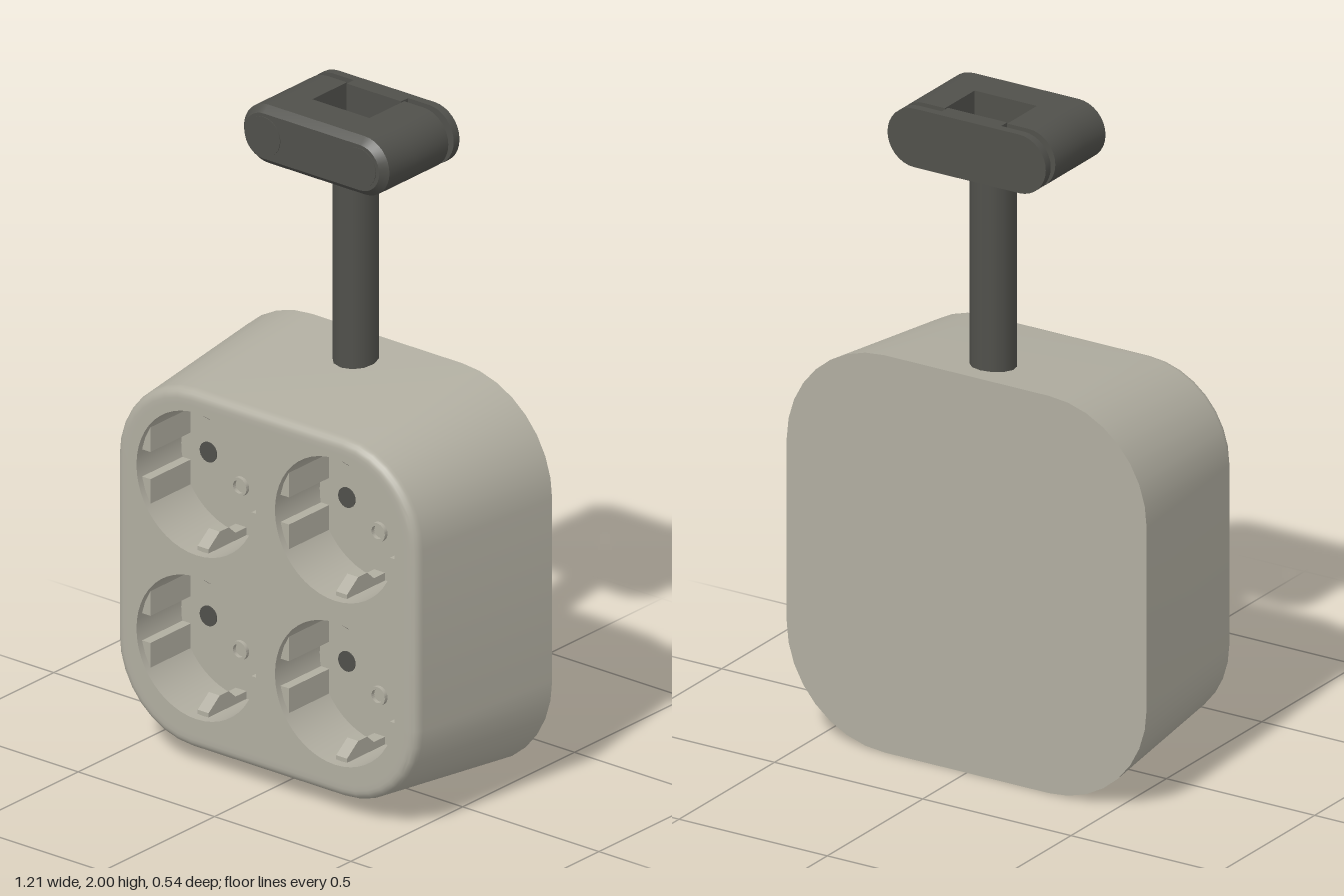
import * as THREE from 'three';
import { toCreasedNormals } from 'three/addons/utils/BufferGeometryUtils.js';

const shellMat = new THREE.MeshStandardMaterial({ color: 0xb0ada0 });
shellMat.name = 'warm grey shell';
const darkMat = new THREE.MeshStandardMaterial({ color: 0x50504b });
darkMat.name = 'dark grey plastic';

function add(parent, name, geometry, material, x = 0, y = 0, z = 0) {
  const mesh = new THREE.Mesh(geometry, material);
  mesh.name = name;
  mesh.position.set(x, y, z);
  parent.add(mesh);
  return mesh;
}

// Rounded rectangle outline, counter-clockwise seen from the front
function outline(hw, hh, r, steps = 8) {
  const points = [];
  for (let c = 0; c < 4; c++) {
    const sx = c === 0 || c === 3 ? 1 : -1;
    const sy = c < 2 ? 1 : -1;
    for (let i = 0; i <= steps; i++) {
      const a = (c + i / steps) * Math.PI / 2;
      points.push(new THREE.Vector2(sx * (hw - r) + r * Math.cos(a), sy * (hh - r) + r * Math.sin(a)));
    }
  }
  return points;
}

// Skin between outlines; each section is [halfWidth, halfHeight, radius, z]
function loft(sections) {
  const positions = [], index = [];
  let n = 0;
  for (const [hw, hh, r, z] of sections) {
    const ring = outline(hw, hh, r);
    n = ring.length;
    ring.forEach(p => positions.push(p.x, p.y, z));
  }
  for (let i = 0; i < sections.length - 1; i++) {
    for (let j = 0; j < n; j++) {
      const k = (j + 1) % n;
      const a = i * n + j, b = i * n + k, c = b + n, d = a + n;
      index.push(a, b, c, a, c, d);
    }
  }
  const g = new THREE.BufferGeometry();
  g.setAttribute('position', new THREE.Float32BufferAttribute(positions, 3));
  g.setIndex(index);
  return toCreasedNormals(g, 0.6);
}

const face = ([hw, hh, r], holes = []) => {
  const shape = new THREE.Shape(outline(hw, hh, r));
  shape.holes.push(...holes);
  return new THREE.ShapeGeometry(shape, 24);
};

const extrude = (shape, depth, curveSegments = 12) =>
  toCreasedNormals(new THREE.ExtrudeGeometry(shape, { depth, bevelEnabled: false, curveSegments }), 0.5);

const lathe = (points, segments) => toCreasedNormals(
  new THREE.LatheGeometry(points.map(p => new THREE.Vector2(...p)), segments).rotateX(Math.PI / 2), 0.5);

const disc = (r, h) => new THREE.CylinderGeometry(r, r, h, 24).rotateX(Math.PI / 2);

const CUP_R = 0.22, CUP_DEPTH = 0.2;

// One recessed outlet, with its origin at the centre of the floor
function makeSocket() {
  const socket = new THREE.Group();
  socket.name = 'socket';
  add(socket, 'socketCup', lathe([[CUP_R, CUP_DEPTH], [CUP_R, 0], [0, 0]], 48), shellMat);
  add(socket, 'childLockRing', lathe([[0.029, 0], [0.029, 0.012], [0.02, 0.012], [0.02, 0]], 24), shellMat, 0, -0.072, 0);
  for (const s of [-1, 1]) {
    add(socket, 'pinHole', disc(0.031, 0.006), darkMat, s * 0.119, 0, 0);

    // Guide ribs on the side walls, above and below the notch
    for (const v of [-1, 1]) {
      const rib = [[0.185, 0.042], [0.216, 0.042], [0.204, 0.082], [0.185, 0.119]]
        .map(([x, y]) => new THREE.Vector2(s * x, v * y));
      add(socket, 'guideRib', extrude(new THREE.Shape(rib), 0.18), shellMat);
    }

    // Sprung earth contact at the top and bottom
    const clip = [[0, 0.22], [0.17, 0.22], [0.17, 0.206], [0.12, 0.168], [0.08, 0.168], [0.05, 0.195], [0, 0.195]]
      .map(([z, y]) => new THREE.Vector2(z, s * y));
    const clipGeo = extrude(new THREE.Shape(clip), 0.04).rotateY(-Math.PI / 2);
    add(socket, 'earthClip', clipGeo, shellMat, 0.02, 0, 0);
  }
  return socket;
}

// Tapered housing with a soft front edge and four outlets
function makeHousing() {
  const housing = new THREE.Group();
  housing.name = 'housing';
  housing.position.y = 0.61;

  const sections = [[0.607, 0.61, 0.33, -0.27]];
  for (let i = 0; i <= 5; i++) {
    const t = i / 5 * Math.PI / 2, inset = 0.03 * (1 - Math.cos(t));
    sections.push([0.552 - inset, 0.554 - inset, 0.275 - inset, 0.24 + 0.03 * Math.sin(t)]);
  }
  sections.push([0.507, 0.509, 0.23, 0.27]);
  add(housing, 'housingSides', loft(sections), shellMat);
  add(housing, 'housingBack', face(sections[0]).rotateY(Math.PI), shellMat, 0, 0, -0.27);

  const holes = [];
  for (const x of [-0.255, 0.253]) {
    for (const y of [-0.237, 0.27]) {
      holes.push(new THREE.Path().absarc(x, y, CUP_R, 0, Math.PI * 2, false));
      const socket = makeSocket();
      socket.position.set(x, y, 0.27 - CUP_DEPTH);
      housing.add(socket);
    }
  }
  add(housing, 'housingFront', face(sections[sections.length - 1], holes), shellMat, 0, 0, 0.27);
  return housing;
}

// Two-piece cable clamp: a U-shaped front with a separate back plate
function makeClamp() {
  const clamp = new THREE.Group();
  clamp.name = 'cableClamp';
  clamp.position.y = 1.91;

  const front = [[0.267, 0.09, 0.09, -0.065], [0.267, 0.09, 0.09, 0.043], [0.247, 0.07, 0.07, 0.065]];
  add(clamp, 'clampFrontSides', loft(front), darkMat);
  add(clamp, 'clampFrontFace', face(front[2]), darkMat, 0, 0, 0.065);
  add(clamp, 'clampFrontInner', face(front[0]).rotateY(Math.PI), darkMat, 0, 0, -0.065);

  for (const s of [-1, 1]) {
    const arm = new THREE.Shape();
    arm.moveTo(0.105, -0.09);
    arm.lineTo(0.177, -0.09);
    arm.absarc(0.177, 0, 0.09, -Math.PI / 2, Math.PI / 2, false);
    arm.lineTo(0.105, 0.09);
    const geo = extrude(arm, 0.155, 8);
    if (s < 0) geo.rotateZ(Math.PI);
    add(clamp, 'clampArm', geo, darkMat, 0, 0, -0.22);
    add(clamp, 'clampScrew', disc(0.027, 0.03), darkMat, s * 0.178, 0, -0.232);
    add(clamp, 'screwCover', disc(0.06, 0.004), darkMat, s * 0.175, 0, 0.065);
  }

  const plate = new THREE.Shape(outline(0.267, 0.09, 0.09));
  add(clamp, 'clampBackPlate', extrude(plate, 0.026), darkMat, 0, 0, -0.27);
  add(clamp, 'clampPad', new THREE.BoxGeometry(0.2, 0.18, 0.032), darkMat, 0, 0, -0.229);
  return clamp;
}

export function createModel() {
  const model = new THREE.Group();
  model.name = 'socketBlock';
  model.add(makeHousing());
  // Hollow cable sleeve between housing and clamp
  add(model, 'cable', new THREE.CylinderGeometry(0.067, 0.067, 0.67, 12, 1, true), darkMat, -0.002, 1.485, -0.134);
  model.add(makeClamp());
  return model;
}
